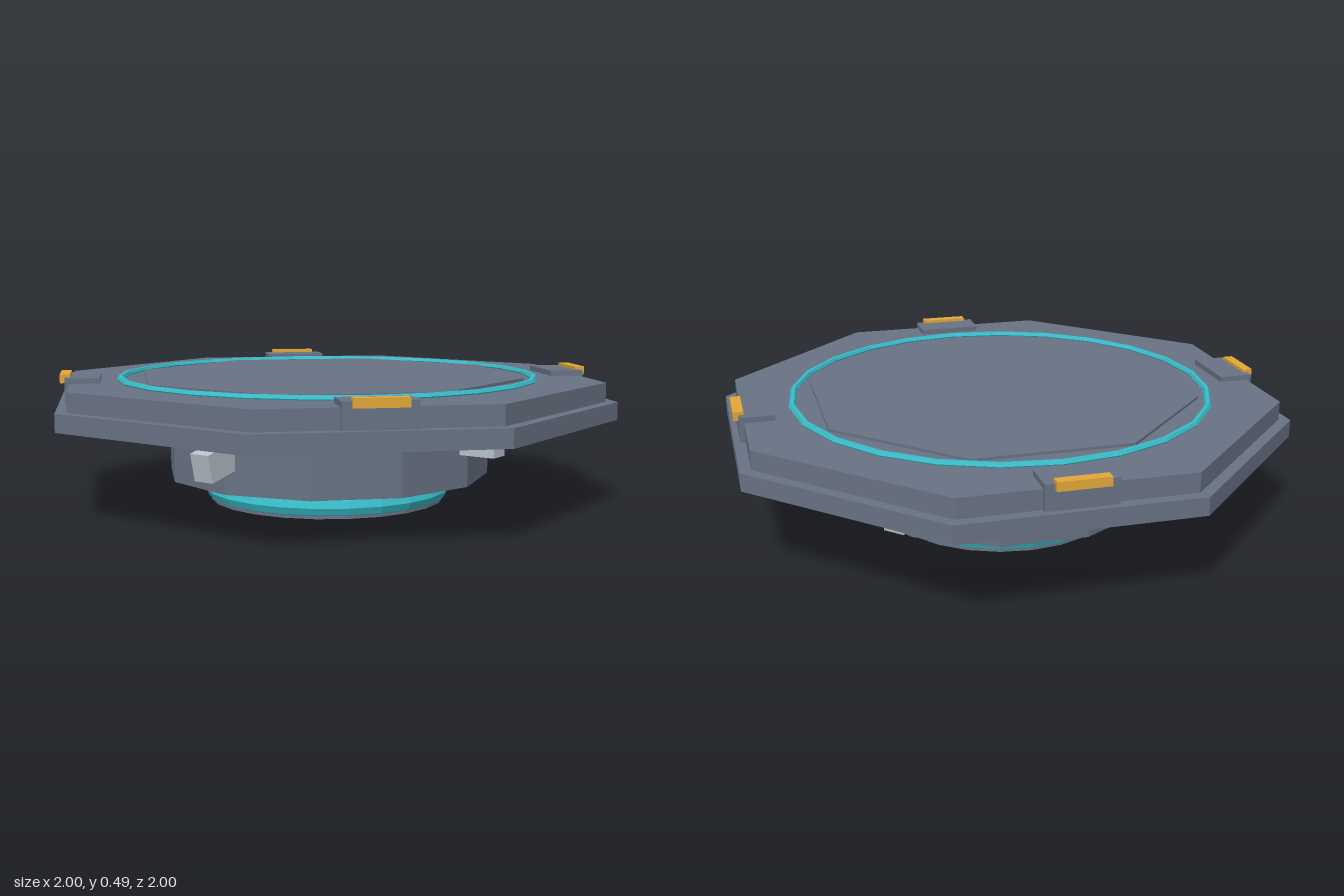
import * as THREE from 'three';

function material(name, color) {
  const m = new THREE.MeshStandardMaterial({ color, flatShading: true });
  m.name = name;
  return m;
}

export function createModel() {
  const slate = material('slate metal', 0x687284);
  const teal = material('teal glow', 0x38bcc8);
  const amber = material('amber light', 0xe2a73a);
  const silver = material('light grey metal', 0xb8c3cd);

  const model = new THREE.Group();
  model.name = 'hoverPlatform';

  function add(name, geometry, mat, x, y, z, parent = model) {
    const mesh = new THREE.Mesh(geometry, mat);
    mesh.name = name;
    mesh.position.set(x, y, z);
    parent.add(mesh);
    return mesh;
  }

  // Octagonal slab with flat sides facing the axes
  function octagon(name, apothem, bottom, top) {
    const r = apothem / Math.cos(Math.PI / 8);
    const g = new THREE.CylinderGeometry(r, r, top - bottom, 8).rotateY(Math.PI / 8);
    return add(name, g, slate, 0, (bottom + top) / 2, 0);
  }

  function ring(name, radius, tube, sides, y) {
    const g = new THREE.TorusGeometry(radius, tube, sides, 24).rotateX(Math.PI / 2);
    return add(name, g, teal, 0, y, 0);
  }

  // Stepped deck
  octagon('lowerDeck', 1, 0.325, 0.39);
  octagon('upperDeck', 0.96, 0.39, 0.46);
  octagon('centrePlate', 0.685, 0.455, 0.47);
  ring('deckRing', 0.78, 0.013, 6, 0.464);

  // Underside drum, emitter disc and glow ring
  add('drum', new THREE.CylinderGeometry(0.613, 0.613, 0.23, 12), slate, 0, 0.213, 0);
  add('emitterDisc', new THREE.CylinderGeometry(0.447, 0.447, 0.11, 24), slate, 0, 0.055, 0);
  ring('emitterRing', 0.43, 0.037, 8, 0.041);

  // Corner blocks with amber lights on the diagonal sides
  for (let i = 0; i < 4; i++) {
    const corner = new THREE.Group();
    corner.name = 'cornerMarker';
    corner.rotation.y = Math.PI / 4 + i * Math.PI / 2;
    add('cornerBlock', new THREE.BoxGeometry(0.245, 0.09, 0.127), slate, 0, 0.435, 0.914, corner);
    add('cornerLight', new THREE.BoxGeometry(0.18, 0.032, 0.037), amber, 0, 0.476, 0.977, corner);
    model.add(corner);
  }

  // Thrusters around the drum; the side pair tilts downward
  for (const s of [-1, 1]) {
    add('endThruster', new THREE.BoxGeometry(0.08, 0.1, 0.14), silver, 0, 0.268, s * 0.668);
    const side = add('sideThruster', new THREE.BoxGeometry(0.14, 0.1, 0.08), silver, s * 0.663, 0.222, 0);
    side.rotation.z = -s * 0.22;
  }

  return model;
}
